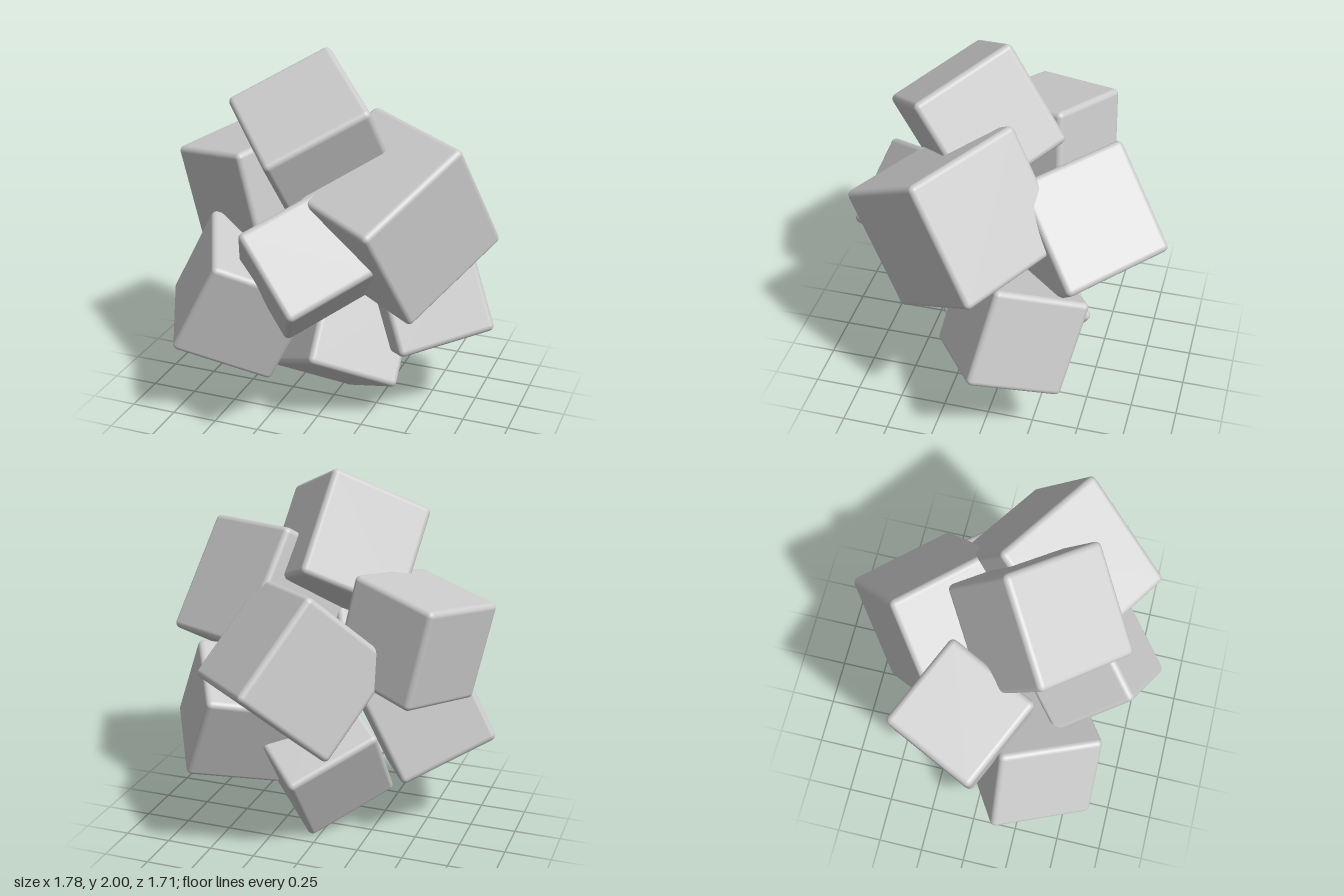
import * as THREE from 'three';
import { RoundedBoxGeometry } from 'three/addons/geometries/RoundedBoxGeometry.js';

// Each cube: name, side length, centre, and two perpendicular edge directions
const CUBES = [
  ['topCube', 0.58, [-0.03, 1.55, 0.19], [0.36, -0.2, 0.38], [-0.43, -0.24, 0.27]],
  ['upperRightCube', 0.67, [0.39, 1.215, 0.186], [-0.317, -0.329, 0.451], [0.132, -0.568, -0.306]],
  ['frontCube', 0.505, [0.023, 0.992, 0.459], [-0.32, 0.345, -0.134], [-0.163, -0.292, -0.35]],
  ['lowerLeftCube', 0.565, [-0.432, 0.664, 0.26], [0.253, 0.49, -0.01], [-0.234, 0.102, -0.48]],
  ['upperLeftCube', 0.53, [-0.5, 1.19, -0.1], [0.465, 0.085, 0.225], [0.219, 0.07, -0.45]],
  ['backCube', 0.615, [0.063, 1.04, -0.357], [-0.243, 0.44, 0.311], [0.428, -0.08, 0.406]],
  ['lowerRightCube', 0.53, [0.472, 0.658, -0.128], [-0.409, -0.104, 0.28], [-0.244, -0.19, -0.41]],
  ['bottomCube', 0.537, [0.042, 0.421, -0.016], [-0.37, 0.217, 0.29], [0.365, 0.212, 0.292]],
];
const EDGE_RADIUS = 0.03;

// Cube with softened edges, turned so its sides follow the given edges
function tiltedCube([name, size, centre, edgeA, edgeB], material) {
  const mesh = new THREE.Mesh(new RoundedBoxGeometry(size, size, size, 4, EDGE_RADIUS), material);
  const x = new THREE.Vector3(...edgeA).normalize();
  const z = x.clone().cross(new THREE.Vector3(...edgeB)).normalize();
  const y = z.clone().cross(x);
  mesh.quaternion.setFromRotationMatrix(new THREE.Matrix4().makeBasis(x, y, z));
  mesh.position.set(...centre);
  mesh.name = name;
  return mesh;
}

export function createModel() {
  const group = new THREE.Group();
  group.name = 'cubeCluster';
  const material = new THREE.MeshStandardMaterial({ color: 0xcccccc });
  for (const cube of CUBES) group.add(tiltedCube(cube, material));
  return group;
}
